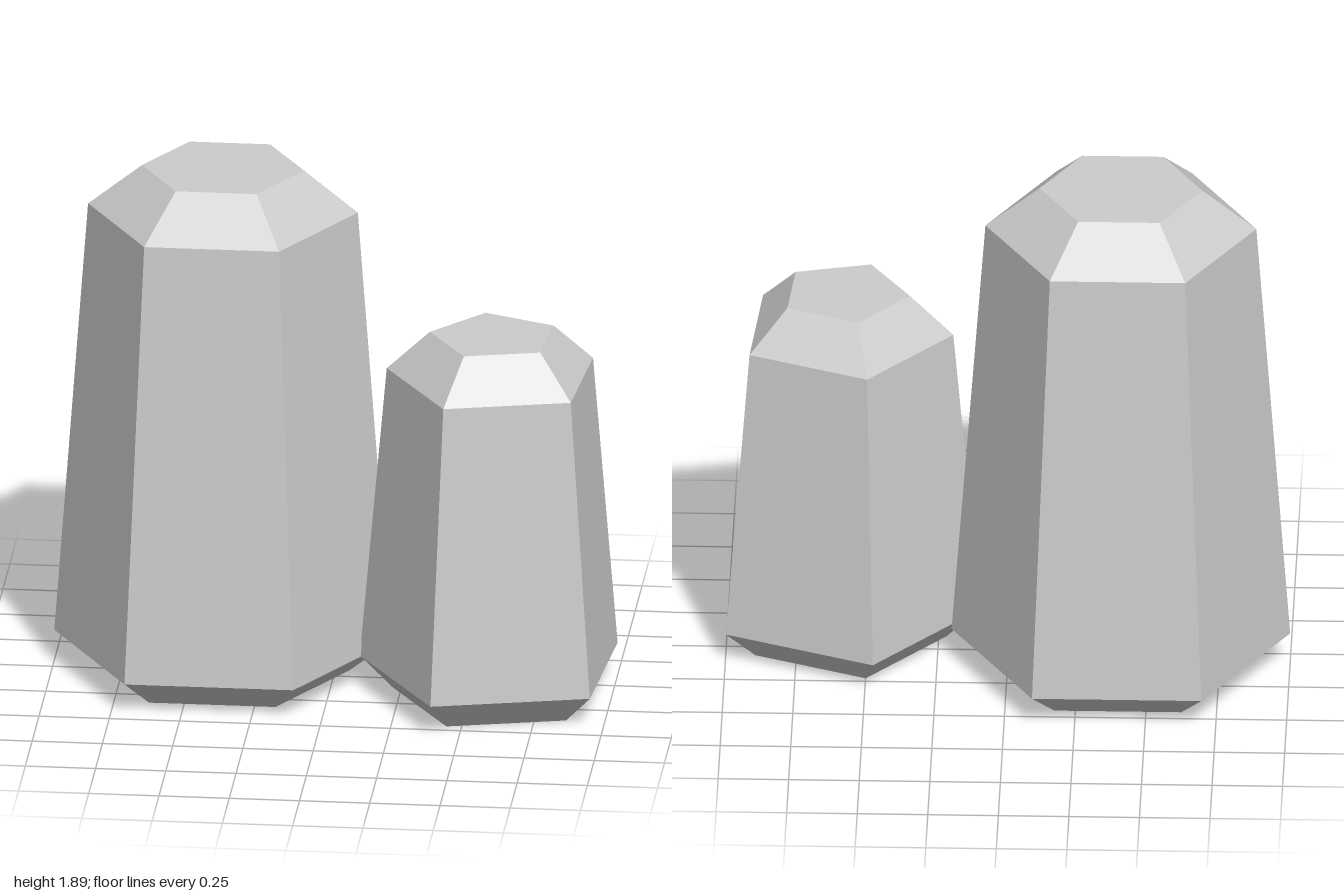
import * as THREE from 'three';

const material = new THREE.MeshStandardMaterial({ color: 0xcccccc, flatShading: true });

// Tapered prism with bevelled foot and crown; angle (degrees) turns its corners about y
function column(name, { sides, radius, shoulder, height, angle, x, z }) {
  const profile = [
    [0, 0],
    [0.75 * radius, 0],
    [radius, 0.115],
    [0.8 * radius, shoulder],
    [0.48 * radius, height],
    [0, height],
  ].map(([r, y]) => new THREE.Vector2(r, y));
  const geometry = new THREE.LatheGeometry(profile, sides, THREE.MathUtils.degToRad(angle));
  const mesh = new THREE.Mesh(geometry, material);
  mesh.name = name;
  mesh.position.set(x, 0, z);
  return mesh;
}

export function createModel() {
  const group = new THREE.Group();
  group.name = 'rockColumns';
  group.add(
    // tall six-sided column
    column('tallColumn', { sides: 6, radius: 0.6, shoulder: 1.735, height: 1.887, angle: 30, x: -0.4, z: -0.062 }),
    // short five-sided column
    column('shortColumn', { sides: 5, radius: 0.485, shoulder: 1.21, height: 1.358, angle: 49.6, x: 0.585, z: 0.126 }),
  );
  return group;
}
